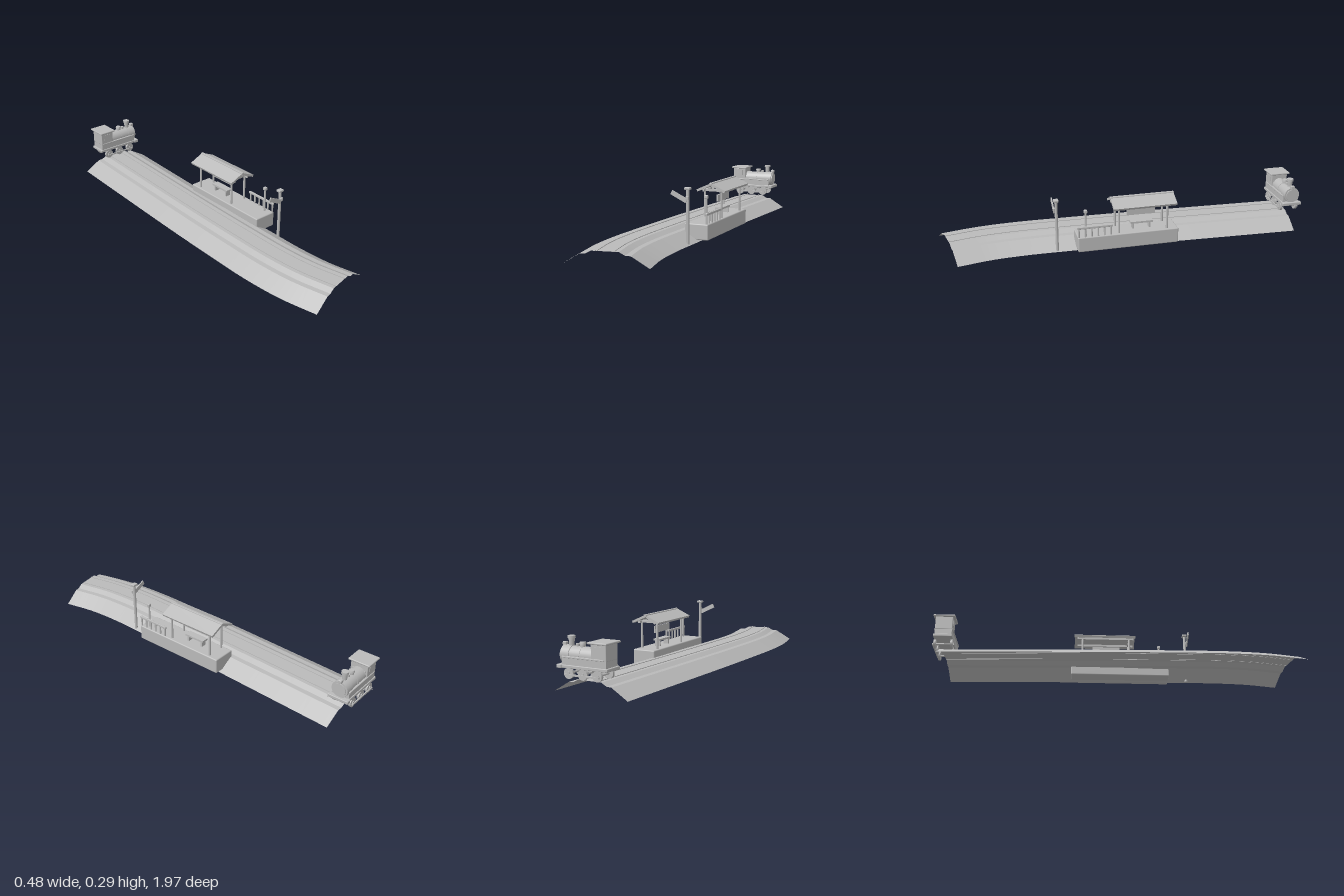
import * as THREE from 'three';
import { toCreasedNormals } from 'three/addons/utils/BufferGeometryUtils.js';
import { RoundedBoxGeometry } from 'three/addons/geometries/RoundedBoxGeometry.js';

const grey = new THREE.MeshStandardMaterial({ color: 0xbababa });
grey.name = 'plain grey';
const greySheet = grey.clone();
greySheet.side = THREE.DoubleSide;
greySheet.name = 'plain grey sheet';

function add(parent, name, geometry, x = 0, y = 0, z = 0, material = grey) {
  const mesh = new THREE.Mesh(geometry, material);
  mesh.name = name;
  mesh.position.set(x, y, z);
  parent.add(mesh);
  return mesh;
}

// Box given by its extents along each axis
function box(parent, name, [x0, x1], [y0, y1], [z0, z1], r = 0) {
  const size = [x1 - x0, y1 - y0, z1 - z0];
  const geo = r ? new RoundedBoxGeometry(...size, 2, r) : new THREE.BoxGeometry(...size);
  return add(parent, name, geo, (x0 + x1) / 2, (y0 + y1) / 2, (z0 + z1) / 2);
}

function post(parent, name, x, z, y0, y1, r0, r1 = r0, sides = 16) {
  return add(parent, name, new THREE.CylinderGeometry(r1, r0, y1 - y0, sides), x, (y0 + y1) / 2, z);
}

// Gently bending track centre line, from back to front
const trackLine = new THREE.CatmullRomCurve3([
  [0.015, -0.94], [0, -0.6], [-0.013, -0.3], [-0.025, 0], [-0.033, 0.3],
  [-0.036, 0.55], [-0.022, 0.75], [0.015, 0.935],
].map(([x, z]) => new THREE.Vector3(x, 0, z)));

// Sweep a profile of [offset to the left, height] along the track
function sweep(profile) {
  const steps = 64, n = profile.length, pos = [], index = [];
  for (let i = 0; i <= steps; i++) {
    const p = trackLine.getPointAt(i / steps);
    const t = trackLine.getTangentAt(i / steps);
    for (const [o, y] of profile) pos.push(p.x + t.z * o, y, p.z - t.x * o);
  }
  for (let i = 0; i < steps; i++) {
    for (let j = 0; j < n - 1; j++) {
      const a = i * n + j, b = a + n;
      index.push(a, b, a + 1, b, b + 1, a + 1);
    }
  }
  const geo = new THREE.BufferGeometry();
  geo.setAttribute('position', new THREE.Float32BufferAttribute(pos, 3));
  geo.setIndex(index);
  return toCreasedNormals(geo, 0.3);
}

function makeTrack() {
  const g = new THREE.Group();
  g.name = 'track';
  const half = [[-0.205, 0], [-0.118, 0.052], [-0.092, 0.053], [-0.064, 0.068]];
  const bank = [...half, ...half.map(([o, y]) => [-o, y]).reverse()];
  add(g, 'embankment', sweep(bank), 0, 0, 0, greySheet);
  for (const s of [-0.04, 0.04]) {
    add(g, 'rail', sweep([[s - 0.004, 0.067], [s - 0.004, 0.071], [s + 0.004, 0.071], [s + 0.004, 0.067]]), 0, 0, 0, greySheet);
  }
  return g;
}

function makeStation() {
  const g = new THREE.Group();
  g.name = 'station';
  box(g, 'platform', [0.092, 0.22], [0.008, 0.09], [-0.26, 0.28], 0.006);

  // Shelter: four posts, beams and a pitched roof
  const cx = 0.155;
  for (const x of [0.108, 0.202]) {
    for (const z of [0.06, -0.2]) post(g, 'shelterPost', x, z, 0.09, 0.232, 0.006);
    box(g, 'sideBeam', [x - 0.005, x + 0.005], [0.226, 0.238], [-0.23, 0.085]);
  }
  for (const z of [0.06, -0.2]) {
    box(g, 'tieBeam', [0.1, 0.21], [0.227, 0.239], [z - 0.006, z + 0.006]);
    box(g, 'kingPost', [cx - 0.005, cx + 0.005], [0.235, 0.266], [z - 0.005, z + 0.005]);
  }
  for (const s of [-1, 1]) {
    const slope = box(g, 'roofSlope', [-0.044, 0.044], [-0.006, 0.006], [-0.25, 0.09]);
    slope.position.set(cx + s * 0.039, 0.25, -0.075);
    slope.rotation.z = -s * 0.42;
  }
  box(g, 'roofRidge', [cx - 0.008, cx + 0.008], [0.262, 0.276], [-0.248, 0.098], 0.003);
  box(g, 'nameBoard', [0.153, 0.161], [0.165, 0.202], [-0.145, 0.008]);

  // Bench
  box(g, 'benchSeat', [0.135, 0.175], [0.12, 0.13], [-0.13, -0.01]);
  for (const z of [-0.115, -0.025]) box(g, 'benchLeg', [0.14, 0.17], [0.09, 0.12], [z - 0.005, z + 0.005]);

  // Fence along the outer edge
  for (let i = 0; i < 6; i++) post(g, 'fencePost', 0.211, 0.105 + i * 0.034, 0.09, 0.142, 0.005, 0.005, 8);
  box(g, 'fenceRail', [0.206, 0.217], [0.135, 0.147], [0.095, 0.283], 0.002);

  // Lamp
  post(g, 'lampPost', 0.192, 0.235, 0.09, 0.218, 0.005);
  box(g, 'lampHead', [0.183, 0.201], [0.214, 0.232], [0.226, 0.244], 0.004);
  return g;
}

function makeSignal() {
  const g = new THREE.Group();
  g.name = 'signal';
  post(g, 'signalPost', 0.156, 0.38, 0, 0.28, 0.008);
  box(g, 'signalCap', [0.14, 0.171], [0.276, 0.289], [0.367, 0.393], 0.004);
  const arm = box(g, 'signalArm', [-0.045, 0.045], [-0.0115, 0.0115], [-0.003, 0.003]);
  arm.position.set(0.113, 0.242, 0.391);
  arm.rotation.z = -0.45;
  box(g, 'signalPivot', [0.149, 0.165], [0.227, 0.245], [0.386, 0.397], 0.003);
  return g;
}

// Locomotive heading along +x, built around its own centre line
function makeLocomotive() {
  const g = new THREE.Group();
  g.name = 'locomotive';
  g.position.z = -0.937;
  box(g, 'footplate', [-0.112, 0.135], [0.125, 0.14], [-0.05, 0.05], 0.003);
  box(g, 'frame', [-0.103, 0.132], [0.138, 0.174], [-0.045, 0.045]);
  box(g, 'runningBoard', [-0.094, 0.132], [0.171, 0.179], [-0.05, 0.05], 0.002);
  box(g, 'bufferBeam', [0.132, 0.158], [0.124, 0.141], [-0.055, 0.055], 0.003);

  // Cab
  box(g, 'cab', [-0.104, -0.024], [0.17, 0.244], [-0.046, 0.046], 0.003);
  box(g, 'cabRear', [-0.028, -0.019], [0.177, 0.21], [-0.035, 0.035]);
  box(g, 'cabRoof', [-0.114, -0.013], [0.243, 0.253], [-0.058, 0.058], 0.004);
  for (const s of [-1, 1]) {
    box(g, 'cabWindow', [-0.085, -0.042], [0.2, 0.232], [s * 0.0465 - 0.002, s * 0.0465 + 0.002]);
  }

  // Boiler, bands and front door
  const tube = (name, r, x0, x1, y, z = 0) => {
    const m = add(g, name, new THREE.CylinderGeometry(r, r, x1 - x0, 28), (x0 + x1) / 2, y, z);
    m.rotation.z = -Math.PI / 2;
    return m;
  };
  tube('boiler', 0.04, -0.03, 0.135, 0.181);
  tube('smokebox', 0.043, 0.1, 0.146, 0.181);
  tube('smokeboxDoor', 0.034, 0.146, 0.151, 0.181);
  tube('boilerBand', 0.0415, 0.043, 0.051, 0.181);

  // Domes, chimney and headlamp
  post(g, 'dome', 0.049, 0, 0.21, 0.234, 0.013);
  post(g, 'domeCap', 0.049, 0, 0.232, 0.241, 0.016, 0.014);
  post(g, 'sandDome', 0.077, 0, 0.21, 0.232, 0.009);
  post(g, 'chimney', 0.11, 0, 0.215, 0.258, 0.012, 0.014);
  post(g, 'chimneyCap', 0.11, 0, 0.254, 0.266, 0.018, 0.018);
  box(g, 'headlamp', [0.135, 0.155], [0.218, 0.237], [-0.01, 0.01], 0.004);

  // Wheels, axles and coupling rods
  for (const x of [-0.058, 0.019, 0.095]) {
    for (const s of [-1, 1]) {
      const wheel = add(g, 'wheel', new THREE.CylinderGeometry(0.025, 0.025, 0.012, 24), x, 0.103, s * 0.044);
      wheel.rotation.x = Math.PI / 2;
      const hub = add(g, 'wheelHub', new THREE.CylinderGeometry(0.009, 0.009, 0.016, 12), x, 0.103, s * 0.046);
      hub.rotation.x = Math.PI / 2;
    }
    const axle = add(g, 'axle', new THREE.CylinderGeometry(0.005, 0.005, 0.09, 10), x, 0.103, 0);
    axle.rotation.x = Math.PI / 2;
  }
  for (const s of [-1, 1]) {
    box(g, 'couplingRod', [-0.072, 0.11], [0.094, 0.102], [s * 0.055 - 0.003, s * 0.055 + 0.003]);
  }
  return g;
}

export function createModel() {
  const model = new THREE.Group();
  model.name = 'railwayHalt';
  model.add(makeTrack(), makeStation(), makeSignal(), makeLocomotive());
  return model;
}
